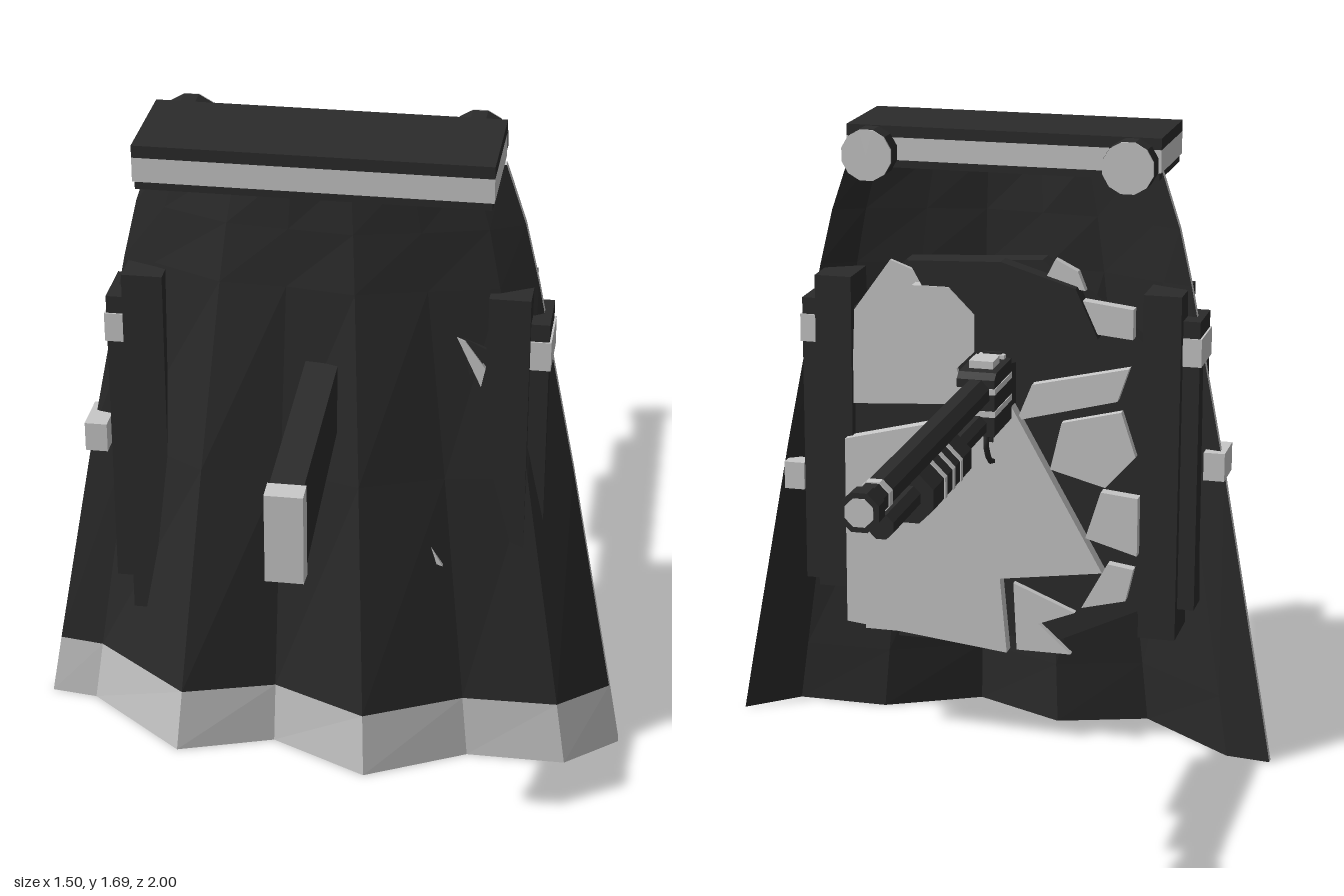
import * as THREE from 'three';

const dark = new THREE.MeshStandardMaterial({ color: 0x2b2b2b });
dark.name = 'charcoal';
const light = new THREE.MeshStandardMaterial({ color: 0xc8c8c8 });
light.name = 'pale grey';

export function createModel() {
  const root = new THREE.Group();
  root.name = 'capeWithLongGun';

  const add = (name, geo, mat, parent = root) => {
    const mesh = new THREE.Mesh(geo, mat);
    mesh.name = name;
    parent.add(mesh);
    return mesh;
  };
  // Box given by its extents
  const box = (name, x0, x1, y0, y1, z0, z1, mat, parent) => {
    const g = new THREE.BoxGeometry(x1 - x0, y1 - y0, z1 - z0);
    g.translate((x0 + x1) / 2, (y0 + y1) / 2, (z0 + z1) / 2);
    return add(name, g, mat, parent);
  };
  // Faceted rod along z
  const rod = (name, x, y, z0, z1, r, mat, parent, sides = 8) => {
    let g = new THREE.CylinderGeometry(r, r, z1 - z0, sides);
    g.rotateY(Math.PI / sides);
    g.rotateX(Math.PI / 2);
    g.translate(x, y, (z0 + z1) / 2);
    g = g.toNonIndexed();
    g.computeVertexNormals();
    return add(name, g, mat, parent);
  };
  const outline = (pts) => new THREE.Shape(pts.map((p) => new THREE.Vector2(...p)));
  // Flat polygon in x, y with thickness along z
  const plate = (name, pts, z0, z1, mat, parent) => {
    const g = new THREE.ExtrudeGeometry(outline(pts), { depth: z1 - z0, bevelEnabled: false });
    g.translate(0, 0, z0);
    return add(name, g, mat, parent);
  };
  // Side profile in z, y with width along x
  const profile = (name, pts, width, mat, parent) => {
    const g = new THREE.ExtrudeGeometry(outline(pts), { depth: width, bevelEnabled: false });
    g.rotateY(-Math.PI / 2);
    g.translate(width / 2, 0, 0);
    return add(name, g, mat, parent);
  };
  // Flat-shaded mesh from quads
  const quads = (name, list, mat, parent) => {
    const g = new THREE.BufferGeometry();
    const pos = list.flatMap(([a, b, c, d]) => [a, b, c, a, c, d].flat());
    g.setAttribute('position', new THREE.Float32BufferAttribute(pos, 3));
    g.computeVertexNormals();
    return add(name, g, mat, parent);
  };

  // Cape: pleated hem blending into a smooth arc at the shoulders
  const cape = new THREE.Group();
  cape.name = 'cape';
  root.add(cape);
  const hem = [[-0.75, 0.31], [-0.63, 0.325], [-0.37, 0.53], [-0.13, 0.45],
    [0.12, 0.57], [0.37, 0.44], [0.62, 0.44], [0.75, 0.325]];
  const rows = [[0, 0.75], [0.17, 0.72], [0.8, 0.605], [1.3, 0.505], [1.45, 0.47], [1.6, 0.42]];
  const grid = rows.map(([y, half]) => hem.map(([hx, hz]) => {
    const u = hx / 0.75;
    const top = 0.325 + 0.11 * (1 - u * u);
    return [u * half, y, THREE.MathUtils.lerp(hz, top, y / 1.6)];
  }));
  const behind = ([x, y, z]) => [x, y, z - 0.02];
  const hemQuads = [], clothQuads = [], rimQuads = [];
  for (let j = 0; j < rows.length - 1; j++) {
    for (let i = 0; i < hem.length - 1; i++) {
      const q = [grid[j][i], grid[j][i + 1], grid[j + 1][i + 1], grid[j + 1][i]];
      (j === 0 ? hemQuads : clothQuads).push(q);
      clothQuads.push(q.map(behind).reverse());
    }
  }
  const loop = [...grid[0], ...grid.slice(1).map((r) => r[7]),
    ...grid[5].slice(0, 7).reverse(), ...grid.slice(1, 5).reverse().map((r) => r[0])];
  loop.forEach((p, i) => {
    const n = loop[(i + 1) % loop.length];
    rimQuads.push([behind(p), behind(n), n, p]);
  });
  quads('capeCloth', clothQuads, dark, cape);
  quads('capeHem', hemQuads, light, cape);
  quads('capeRim', rimQuads, light, cape);

  // Shoulder bar with trim and two round bolts
  const bar = new THREE.Group();
  bar.name = 'shoulderBar';
  root.add(bar);
  box('barBase', -0.42, 0.41, 1.58, 1.6, 0.27, 0.545, dark, bar);
  box('barTrim', -0.425, 0.415, 1.6, 1.66, 0.268, 0.55, light, bar);
  box('barTop', -0.425, 0.415, 1.66, 1.69, 0.268, 0.55, dark, bar);
  for (const x of [-0.35, 0.345]) {
    rod('bolt', x, 1.62, 0.215, 0.275, 0.07, dark, bar, 12);
    rod('boltCap', x, 1.62, 0.209, 0.215, 0.069, light, bar, 12);
  }

  // Side posts and banded sheaths
  for (const s of [-1, 1]) {
    const side = new THREE.Group();
    side.name = s > 0 ? 'leftPost' : 'rightPost';
    root.add(side);
    const c = s * 0.445, o = s * 0.51;
    box('post', c - 0.05, c + 0.05, s > 0 ? 0.42 : 0.35, 1.29, 0.222, 0.41, dark, side);
    box('sheath', o - 0.03, o + 0.03, 0.43, 1.22, 0.25, 0.39, dark, side);
    box('sheathBand', o - 0.035, o + 0.035, 1.1, 1.175, 0.246, 0.394, light, side);
    const cx = s * 0.58, cy = s > 0 ? 0.71 : 0.825;
    box('sideClip', cx - 0.028, cx + 0.028, cy - 0.038, cy + 0.038, 0.275, s > 0 ? 0.33 : 0.39, light, side);
  }

  // Layered angular plates inside the cape
  const pack = new THREE.Group();
  pack.name = 'backPlates';
  root.add(pack);
  plate('backing', [[-0.4, 0.42], [-0.15, 0.3], [0.4, 0.36], [0.4, 1.2], [0.25, 1.34],
    [-0.12, 1.36], [-0.4, 1.15]], 0.25, 0.31, dark, pack);
  plate('upperDarkPlate', [[-0.28, 1.17], [-0.02, 1.08], [0.1, 1.12], [0.23, 1.35],
    [-0.02, 1.36], [-0.22, 1.3]], 0.2, 0.25, dark, pack);
  plate('cornerPlate', [[0.08, 0.96], [0.4, 0.94], [0.39, 1.2], [0.29, 1.34], [0.18, 1.3]], 0.235, 0.25, light, pack);
  rod('octagonDisc', 0.17, 1.165, 0.195, 0.24, 0.13, light, pack);
  plate('mainPlate', [[0.41, 0.33], [-0.04, 0.28], [-0.02, 0.49], [-0.3, 0.53],
    [-0.04, 0.99], [0.09, 0.93], [0.41, 0.85]], 0.2, 0.24, light, pack);
  plate('lowerShard', [[-0.06, 0.28], [-0.21, 0.28], [-0.12, 0.36], [-0.22, 0.4], [-0.05, 0.47]], 0.23, 0.25, light, pack);
  const shards = [
    [[-0.16, 1.19], [-0.37, 1.17], [-0.37, 1.25], [-0.2, 1.27]],
    [[-0.06, 0.93], [-0.33, 1.0], [-0.36, 1.09], [-0.1, 1.03]],
    [[-0.15, 0.8], [-0.3, 0.76], [-0.38, 0.85], [-0.34, 0.97], [-0.18, 0.93]],
    [[-0.25, 0.62], [-0.39, 0.58], [-0.39, 0.74], [-0.29, 0.75]],
    [[-0.24, 0.42], [-0.36, 0.45], [-0.38, 0.54], [-0.31, 0.55]],
    [[-0.13, 1.31], [-0.24, 1.29], [-0.22, 1.34], [-0.16, 1.37]],
  ];
  shards.forEach((p, i) => plate('shard', p, 0.215 + 0.005 * (i % 3), 0.25, light, pack));
  box('trayRim', 0.06, 0.36, 0.31, 0.35, 0.21, 0.31, light, pack);
  box('trayInset', 0.12, 0.28, 0.28, 0.31, 0.255, 0.305, dark, pack);
  plate('frontDarkShard', [[0.27, 1.02], [0.38, 1.1], [0.39, 1.15], [0.31, 1.19], [0.25, 1.15]], 0.3, 0.4, dark, pack);
  plate('frontPaleShard', [[0.32, 1.18], [0.38, 1.05], [0.39, 1.1], [0.34, 1.17]], 0.3, 0.405, light, pack);
  plate('smallPaleShard', [[0.27, 0.62], [0.285, 0.57], [0.3, 0.565]], 0.3, 0.45, light, pack);

  // Long gun passing through the cape, muzzle to the rear
  const gun = new THREE.Group();
  gun.name = 'longGun';
  root.add(gun);
  rod('barrel', 0, 1.052, -0.96, 0.03, 0.04, dark, gun);
  rod('muzzle', 0, 1.052, -0.998, -0.95, 0.05, dark, gun);
  rod('muzzleFace', 0, 1.052, -1, -0.997, 0.036, light, gun);
  rod('barrelRing', 0, 1.052, -0.892, -0.865, 0.043, light, gun);
  rod('magazineTube', 0, 0.965, -0.83, 0.03, 0.032, dark, gun);
  rod('pumpGrip', 0, 0.963, -0.6, -0.25, 0.066, dark, gun);
  for (const z of [-0.35, -0.42, -0.495]) rod('pumpRing', 0, 0.963, z - 0.01, z + 0.01, 0.069, light, gun);
  profile('receiver', [[0.02, 0.94], [0.02, 1.09], [0.04, 1.105], [0.3, 1.105], [0.3, 0.94]], 0.1, dark, gun);
  for (const y of [1.0, 1.06]) box('receiverStripe', -0.052, 0.052, y - 0.008, y + 0.008, 0.018, 0.2, light, gun);
  box('topPort', -0.032, 0.032, 1.1, 1.125, 0.075, 0.145, light, gun);
  box('rearSight', -0.035, 0.035, 1.1, 1.115, 0.18, 0.24, light, gun);
  box('sightSlot', -0.025, 0.025, 1.115, 1.12, 0.19, 0.225, dark, gun);
  const guard = [[0.2, 0.95], [0.21, 0.82], [0.16, 0.835], [0.13, 0.88], [0.14, 0.95]];
  const guardPath = new THREE.CatmullRomCurve3(guard.map(([z, y]) => new THREE.Vector3(0, y, z)), false, 'catmullrom', 0.2);
  add('triggerGuard', new THREE.TubeGeometry(guardPath, 16, 0.008, 5), dark, gun);
  profile('trigger', [[0.185, 0.95], [0.165, 0.95], [0.17, 0.88], [0.178, 0.88]], 0.015, dark, gun);
  profile('stock', [[0.25, 1.1], [0.45, 1.11], [0.95, 1.06], [0.95, 0.833], [0.45, 0.94], [0.25, 0.96]], 0.08, dark, gun);
  profile('buttPad', [[0.95, 1.06], [1, 1.055], [1, 0.83], [0.95, 0.825]], 0.09, light, gun);

  return root;
}
